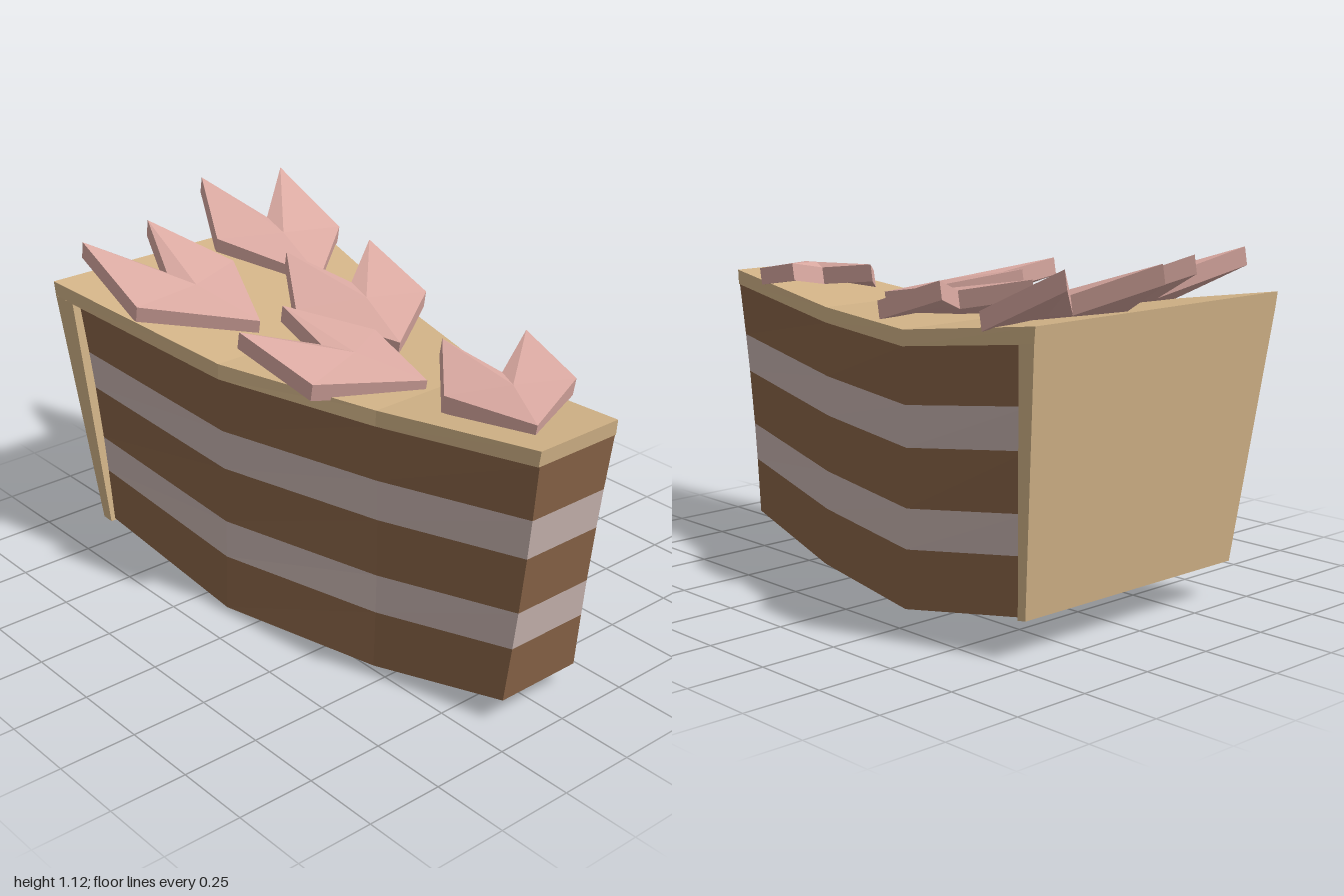
import * as THREE from 'three';

const mat = (name, color, side = THREE.FrontSide) => {
  const m = new THREE.MeshStandardMaterial({ color, flatShading: true, side });
  m.name = name;
  return m;
};

// Flat-shaded mesh from a list of triangles and quads
function facesToMesh(name, faces, material) {
  const pos = [];
  for (const f of faces)
    for (let i = 1; i < f.length - 1; i++) pos.push(...f[0], ...f[i], ...f[i + 1]);
  const g = new THREE.BufferGeometry();
  g.setAttribute('position', new THREE.Float32BufferAttribute(pos, 3));
  g.computeVertexNormals();
  const mesh = new THREE.Mesh(g, material);
  mesh.name = name;
  return mesh;
}

const lerp = THREE.MathUtils.lerp;

// Each station: [x, y, halfWidth] at the bottom, then at the top
const slice = [
  [[-0.72, 0.12, 0.445], [-0.82, 0.965, 0.515]],
  [[-0.13, 0.003, 0.372], [-0.13, 0.865, 0.377]],
  [[0.43, 0, 0.235], [0.42, 0.86, 0.225]],
  [[0.9, 0.078, 0.15], [1.0, 0.925, 0.152]],
];

// Closed ring around the slice at height fraction t, mirrored across z
function ring(stations, t, inset = 0) {
  const pinch = inset + 0.01 * Math.sin(Math.PI * t);
  const half = stations.map(([b, u]) => [
    lerp(b[0], u[0], t), lerp(b[1], u[1], t), lerp(b[2], u[2], t) - pinch]);
  return [...half, ...half.map(([x, y, z]) => [x, y, -z]).reverse()];
}

function band(a, b) {
  return a.map((p, i) => {
    const j = (i + 1) % a.length;
    return [p, a[j], b[j], b[i]];
  });
}

function cap(r, up) {
  const n = r.length, faces = [];
  for (let i = 0; i < n / 2 - 1; i++) {
    const q = [r[i], r[i + 1], r[n - 2 - i], r[n - 1 - i]];
    faces.push(up ? q : q.reverse());
  }
  return faces;
}

// Chips: outline [x, z, top height], starting and ending at the two tips, notch last
const chips = [
  [[-0.9, -0.49, 1.12], [-0.59, -0.5, 0.98], [-0.36, -0.22, 0.93],
    [-0.72, -0.07, 1.0], [-0.99, -0.21, 1.12], [-0.74, -0.3, 1.02]],
  [[-0.79, 0.16, 1.1], [-0.54, 0, 0.99], [-0.21, 0.15, 0.92],
    [-0.46, 0.44, 0.965], [-0.75, 0.44, 1.1], [-0.57, 0.245, 1.0]],
  [[-0.32, -0.4, 1.03], [-0.02, -0.38, 0.94], [0.175, -0.09, 0.905],
    [-0.18, 0.03, 0.935], [-0.43, -0.135, 1.02], [-0.18, -0.2, 0.97]],
  [[-0.11, 0.14, 1.0], [0.11, -0.045, 0.94], [0.41, 0.015, 0.89],
    [0.25, 0.32, 0.91], [-0.01, 0.385, 1.01], [0.11, 0.17, 0.95]],
  [[0.51, -0.29, 1.0], [0.78, -0.22, 0.955], [0.91, 0.075, 0.945],
    [0.59, 0.12, 0.935], [0.38, -0.07, 0.99], [0.62, -0.08, 0.96]],
];

function chipMesh(outline, material) {
  const top = outline.map(([x, z, y]) => [x, y, z]);
  const centre = top[5].map((v, k) => lerp(v, top[2][k], 0.32));
  centre[1] += 0.012;
  const lower = ([x, y, z]) => [x - 0.01, y - 0.055, z];
  const faces = [];
  top.forEach((p, i) => {
    const q = top[(i + 1) % top.length];
    faces.push([centre, q, p], [lower(centre), lower(p), lower(q)], [p, q, lower(q), lower(p)]);
  });
  return facesToMesh('chip', faces, material);
}

export function createModel() {
  const sponge = mat('sponge brown', 0x8a6548);
  const cream = mat('cream', 0xc9b5b1);
  const frosting = mat('tan frosting', 0xd3b488);
  const pink = mat('pink chip', 0xdbaaa2);
  const model = new THREE.Group();
  model.name = 'cakeSlice';

  // Layered filling, set slightly inside the frosting
  const body = slice.map(([b, u], i) => i === 0
    ? [[b[0] + 0.03, b[1], b[2] - 0.02], [u[0] + 0.06, u[1] - 0.012, u[2] - 0.035]]
    : [b, u]);
  const levels = [0, 0.217, 0.365, 0.583, 0.735, 0.942];
  for (let i = 0; i < levels.length - 1; i++) {
    const a = ring(body, levels[i]), b = ring(body, levels[i + 1]);
    const faces = band(a, b);
    if (i === 0) faces.push(...cap(a, false));
    model.add(facesToMesh(i % 2 ? 'creamLayer' : 'spongeLayer', faces, i % 2 ? cream : sponge));
  }

  // Top frosting sheet
  const under = ring(slice, 0.942, -0.004), over = ring(slice, 1);
  model.add(facesToMesh('topFrosting',
    [...band(under, over), ...cap(under, false), ...cap(over, true)], frosting));

  // Frosting wall on the wide end
  const [b, u] = slice[0];
  const wall = [[b, u],
    [[b[0] + 0.035, b[1] - 0.007, b[2] - 0.005], [u[0] + 0.075, u[1] - 0.012, u[2] - 0.015]]];
  const low = ring(wall, 0), high = ring(wall, 0.945, -0.004);
  model.add(facesToMesh('backFrosting',
    [...band(low, high), ...cap(low, false), ...cap(high, true)], frosting));

  // Notched chips on top
  const toppings = new THREE.Group();
  toppings.name = 'toppings';
  chips.forEach((c) => toppings.add(chipMesh(c, pink)));
  model.add(toppings);
  return model;
}
